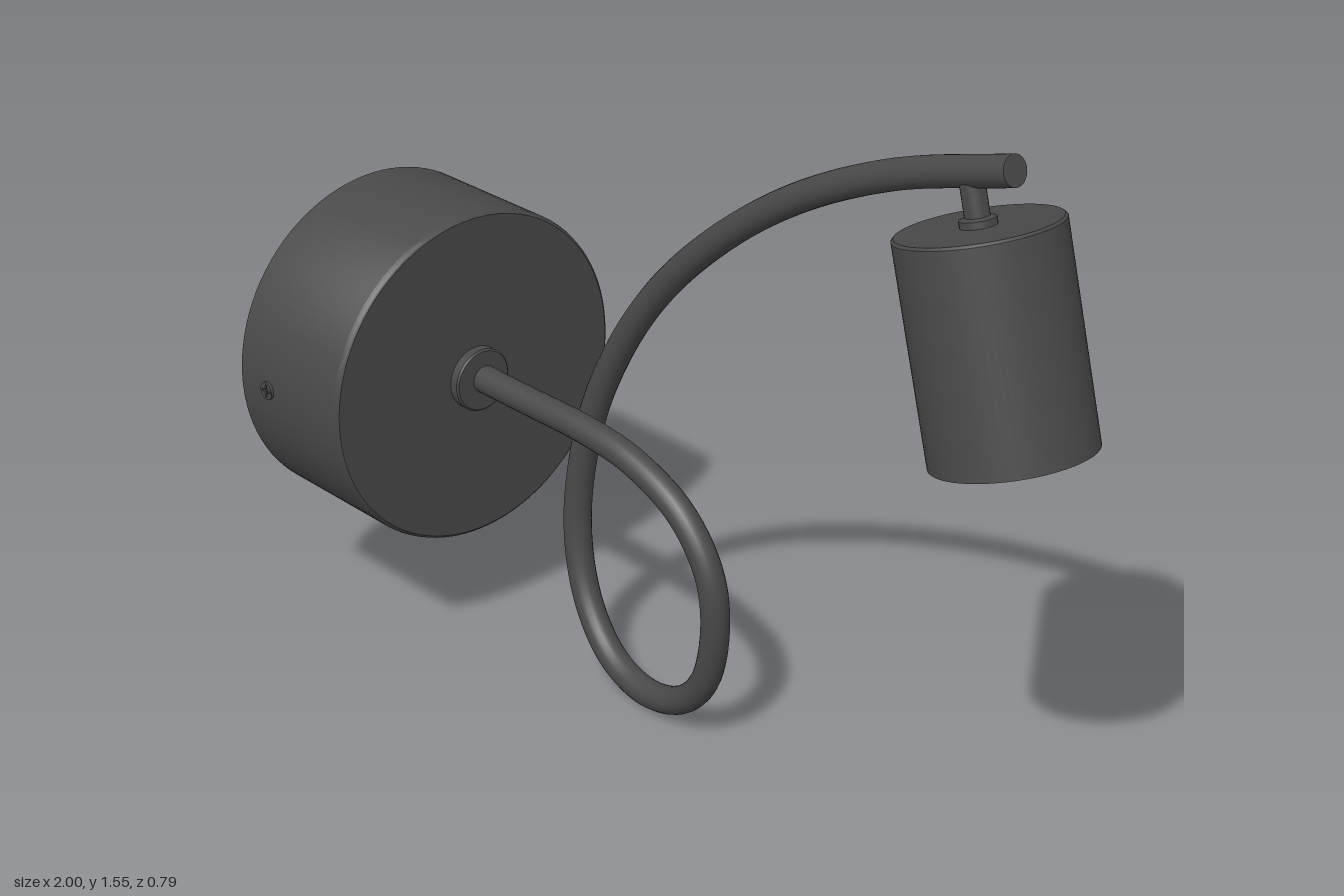
import * as THREE from 'three';
import { toCreasedNormals } from 'three/addons/utils/BufferGeometryUtils.js';

const black = new THREE.MeshStandardMaterial({ color: 0x494949 });
black.name = 'matt black metal';
const glass = new THREE.MeshStandardMaterial({ color: 0xcccccc });
glass.name = 'pale diffuser';

function add(parent, name, geometry, material = black) {
  const mesh = new THREE.Mesh(geometry, material);
  mesh.name = name;
  parent.add(mesh);
  return mesh;
}

// Turned part from [radius, height] pairs, with crisp edges
function turned(points, sides = 64) {
  const profile = points.map(([r, y]) => new THREE.Vector2(r, y));
  return toCreasedNormals(new THREE.LatheGeometry(profile, sides), 0.6);
}

export function createModel() {
  const lamp = new THREE.Group();
  lamp.name = 'wallLamp';

  // Wall mount: hollow drum, open towards the wall at -x
  const mount = new THREE.Group();
  mount.name = 'wallMount';
  mount.position.set(-1, 0.643, 0);
  mount.rotation.z = -Math.PI / 2;
  lamp.add(mount);
  add(mount, 'mountDrum', turned([
    [0, 0.27], [0.382, 0.27], [0.382, 0], [0.39, 0], [0.39, 0.343],
    [0.388, 0.35], [0.382, 0.355], [0, 0.355],
  ], 96));
  add(mount, 'armCollar', turned([
    [0, 0.35], [0.074, 0.35], [0.074, 0.376], [0.07, 0.38], [0, 0.38],
  ], 48));

  // Cross-head screw on the front of the drum
  const head = new THREE.Shape().absarc(0, 0, 0.021, 0, Math.PI * 2);
  const a = 0.003, b = 0.015;
  head.holes.push(new THREE.Path([
    [a, a], [b, a], [b, -a], [a, -a], [a, -b], [-a, -b],
    [-a, -a], [-b, -a], [-b, a], [-a, a], [-a, b], [a, b],
  ].map(([x, y]) => new THREE.Vector2(x, y))));
  const screw = add(lamp, 'mountScrew',
    new THREE.ExtrudeGeometry(head, { depth: 0.012, bevelEnabled: false, curveSegments: 16 }));
  screw.position.set(-0.9, 0.643, 0.384);

  // Looped arm
  const path = new THREE.CatmullRomCurve3([
    [-0.64, 0.645, -0.004], [-0.45, 0.645, -0.004], [-0.28, 0.644, -0.004],
    [-0.12, 0.624, -0.005], [0.03, 0.557, -0.007], [0.113, 0.45, -0.011],
    [0.131, 0.33, -0.016], [0.09, 0.168, -0.026], [0, 0.073, -0.035],
    [-0.13, 0.035, -0.046], [-0.26, 0.067, -0.06], [-0.357, 0.168, -0.075],
    [-0.404, 0.34, -0.088], [-0.374, 0.58, -0.1], [-0.291, 0.78, -0.108],
    [-0.16, 0.972, -0.115], [0.02, 1.147, -0.121], [0.24, 1.302, -0.127],
    [0.5, 1.427, -0.131], [0.802, 1.521, -0.134],
  ].map((p) => new THREE.Vector3(...p)));
  add(lamp, 'loopedArm', new THREE.TubeGeometry(path, 200, 0.032, 20));
  const cap = add(lamp, 'armEndCap', new THREE.CircleGeometry(0.032, 20));
  cap.position.copy(path.getPoint(1));
  cap.lookAt(cap.position.clone().add(path.getTangent(1)));

  // Spotlight: local origin at the centre of its top, hanging down and tilted
  const spot = new THREE.Group();
  spot.name = 'spotlight';
  spot.position.set(0.72, 1.388, -0.133);
  spot.rotation.z = THREE.MathUtils.degToRad(15);
  lamp.add(spot);
  add(spot, 'spotShade', turned([
    [0, -0.404], [0.16, -0.404], [0.16, -0.454], [0.168, -0.454],
    [0.168, -0.005], [0.163, 0], [0, 0],
  ]));
  const lens = add(spot, 'diffuser', new THREE.CylinderGeometry(0.133, 0.133, 0.008, 48), glass);
  lens.position.y = -0.405;

  // Short stem joining shade and arm
  add(spot, 'spotStem', turned([
    [0, -0.002], [0.037, -0.002], [0.037, 0.014], [0.025, 0.018], [0.025, 0.1], [0, 0.1],
  ], 24));

  return lamp;
}
